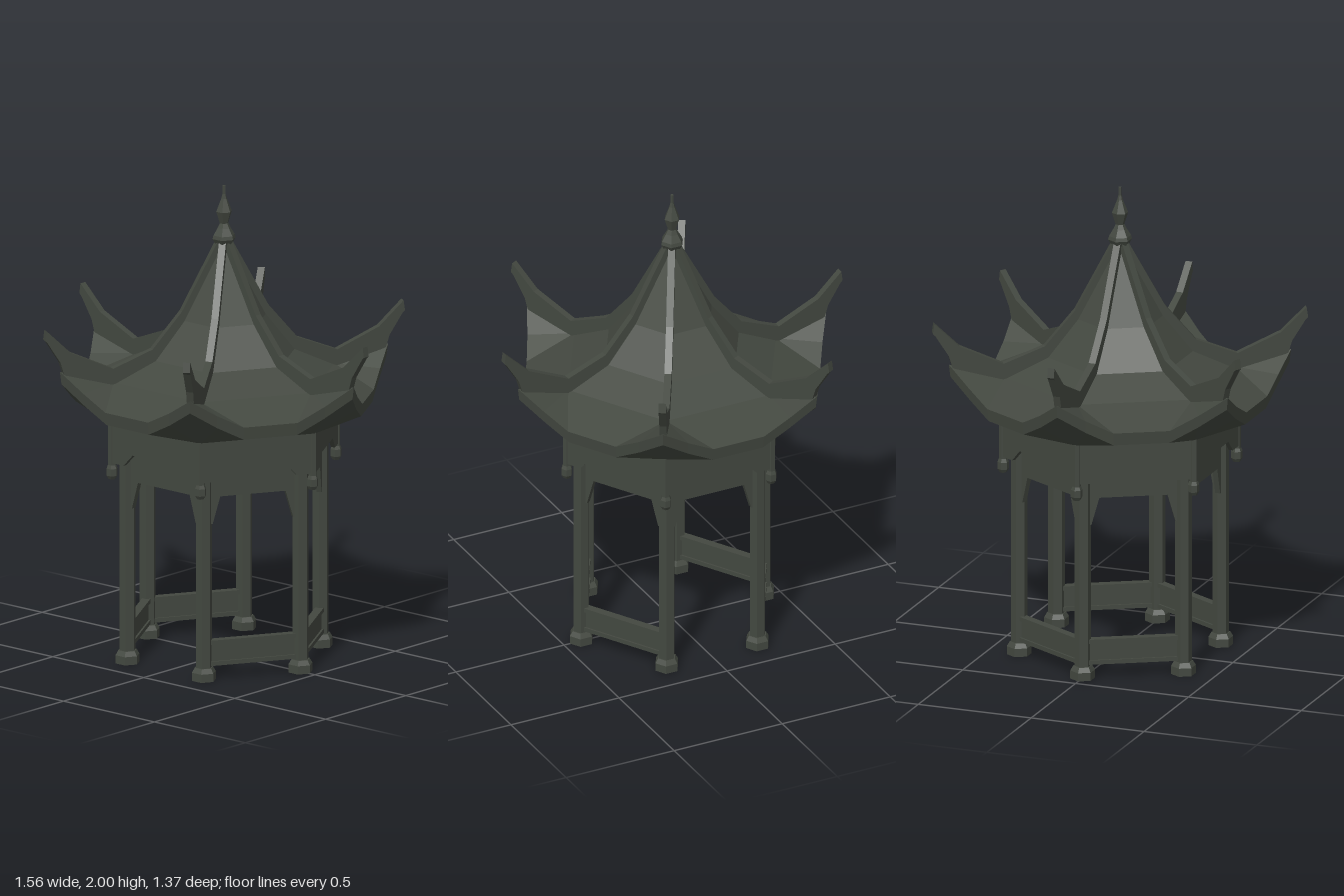
import * as THREE from 'three';

const stone = new THREE.MeshStandardMaterial({ color: 0x434840, flatShading: true, side: THREE.DoubleSide });
stone.name = 'dark grey green';

const COS30 = Math.sqrt(3) / 2;

function add(parent, name, geometry, x = 0, y = 0, z = 0) {
  const mesh = new THREE.Mesh(geometry, stone);
  mesh.name = name;
  mesh.position.set(x, y, z);
  parent.add(mesh);
  return mesh;
}

// six-sided turned part with corners on the x axis; profile is [radius, y]
function hexLathe(profile) {
  const points = profile.map(([r, y]) => new THREE.Vector2(r, y));
  return new THREE.LatheGeometry(points, 6, Math.PI / 2);
}

// flat plate cut from an outline in x and y, centred on z
function plate(outline, depth) {
  const shape = new THREE.Shape(outline.map(([x, y]) => new THREE.Vector2(x, y)));
  return new THREE.ExtrudeGeometry(shape, { depth, bevelEnabled: false }).translate(0, 0, -depth / 2);
}

// completes an outline that is symmetric about x = 0
const mirrored = (half) => [...half, ...half.map(([x, y]) => [-x, y]).reverse()];

function faces(polygons) {
  const positions = [];
  for (const p of polygons) {
    for (let i = 1; i < p.length - 1; i++) positions.push(...p[0], ...p[i], ...p[i + 1]);
  }
  const geometry = new THREE.BufferGeometry();
  geometry.setAttribute('position', new THREE.Float32BufferAttribute(positions, 3));
  geometry.computeVertexNormals();
  return geometry;
}

// one sixth of the roof: steep bands, upturned eave, fascia and soffit
function roofSector() {
  const rings = [[0.02, 1.75], [0.185, 1.44], [0.31, 1.28], [0.48, 1.2]];
  const left = rings.map(([r, y]) => [-r / 2, y, r * COS30]);
  const right = rings.map(([r, y]) => [r / 2, y, r * COS30]);
  const polygons = [];
  for (let i = 0; i < 3; i++) polygons.push([left[i], left[i + 1], right[i + 1], right[i]]);

  const half = [[-0.357, 1.265, 0.618], [-0.235, 1.19, 0.609], [-0.117, 1.13, 0.606]];
  const top = [...half, ...half.map(([x, y, z]) => [-x, y, z]).reverse()];
  const bottom = top.map(([x, y, z]) => [x * 0.99, y - 0.053, z - 0.006]);
  const skirt = (a, b, e) => [
    [a, e[0], e[1]], [a, e[1], e[2]], [a, e[2], e[3], b], [b, e[3], e[4]], [b, e[4], e[5]],
  ];
  polygons.push(...skirt(left[3], right[3], top));
  for (let i = 0; i < 5; i++) polygons.push([top[i], bottom[i], bottom[i + 1], top[i + 1]]);
  const soffit = skirt([-0.25, 1.03, 0.433], [0.25, 1.03, 0.433], bottom);
  polygons.push(...soffit.map((p) => [...p].reverse()));
  return faces(polygons);
}

export function createModel() {
  const model = new THREE.Group();
  model.name = 'hexagonalPavilion';

  const roof = roofSector();
  const ridge = plate([
    [0.02, 1.7], [0.185, 1.42], [0.31, 1.27], [0.48, 1.19], [0.635, 1.22], [0.7, 1.255], [0.715, 1.305],
    [0.772, 1.395], [0.782, 1.405], [0.776, 1.447], [0.67, 1.345], [0.487, 1.262], [0.315, 1.33],
    [0.188, 1.48], [0.03, 1.77],
  ], 0.03);
  const column = hexLathe([[0.035, 0.04], [0.035, 1.04]]);
  const base = hexLathe([[0, 0], [0.052, 0], [0.052, 0.035], [0.04, 0.055], [0, 0.055]]);
  const pendant = hexLathe([
    [0, 0.79], [0.015, 0.79], [0.024, 0.805], [0.024, 0.835], [0.018, 0.85], [0.018, 1.035],
  ]);
  const frieze = plate(mirrored([[-0.248, 1.035], [-0.248, 0.86], [-0.17, 0.86], [-0.12, 0.912]]), 0.018);
  const beam = plate(mirrored([[-0.2, 0.9], [-0.2, 0.665], [-0.175, 0.665], [-0.142, 0.78]]), 0.022);

  for (let i = 0; i < 6; i++) {
    // parts that stand on a corner
    const corner = new THREE.Group();
    corner.name = 'corner' + (i + 1);
    corner.rotation.y = (i * Math.PI) / 3;
    model.add(corner);
    add(corner, 'column', column, 0.42);
    add(corner, 'columnBase', base, 0.42);
    add(corner, 'hangingPost', pendant, 0.487);
    add(corner, 'roofRidge', ridge);

    // parts that span a side; front and back stay open for walking through
    const side = new THREE.Group();
    side.name = 'side' + (i + 1);
    side.rotation.y = (i * Math.PI) / 3;
    model.add(side);
    add(side, 'roofPanel', roof);
    add(side, 'outerFrieze', frieze, 0, 0, 0.424);
    add(side, 'bracketBeam', beam, 0, 0, 0.364);
    if (i % 3 !== 0) {
      add(side, 'lowRailPanel', new THREE.BoxGeometry(0.38, 0.08, 0.02), 0, 0.115, 0.364);
      for (const y of [0.07, 0.16]) {
        add(side, 'lowRailBar', new THREE.BoxGeometry(0.38, 0.018, 0.036), 0, y, 0.364);
      }
    }
  }

  // stepped ceiling under the roof
  add(model, 'ceiling', hexLathe([
    [0.49, 1.03], [0.38, 1.03], [0.38, 1.1], [0.3, 1.12], [0.28, 1.23], [0.17, 1.36], [0.03, 1.62], [0, 1.62],
  ]));

  // finial
  add(model, 'finial', hexLathe([
    [0, 1.735], [0.03, 1.74], [0.05, 1.775], [0.046, 1.79], [0.028, 1.82], [0.018, 1.84], [0.034, 1.89],
    [0.012, 1.945], [0.007, 1.965], [0.007, 2], [0, 2],
  ]));

  return model;
}
